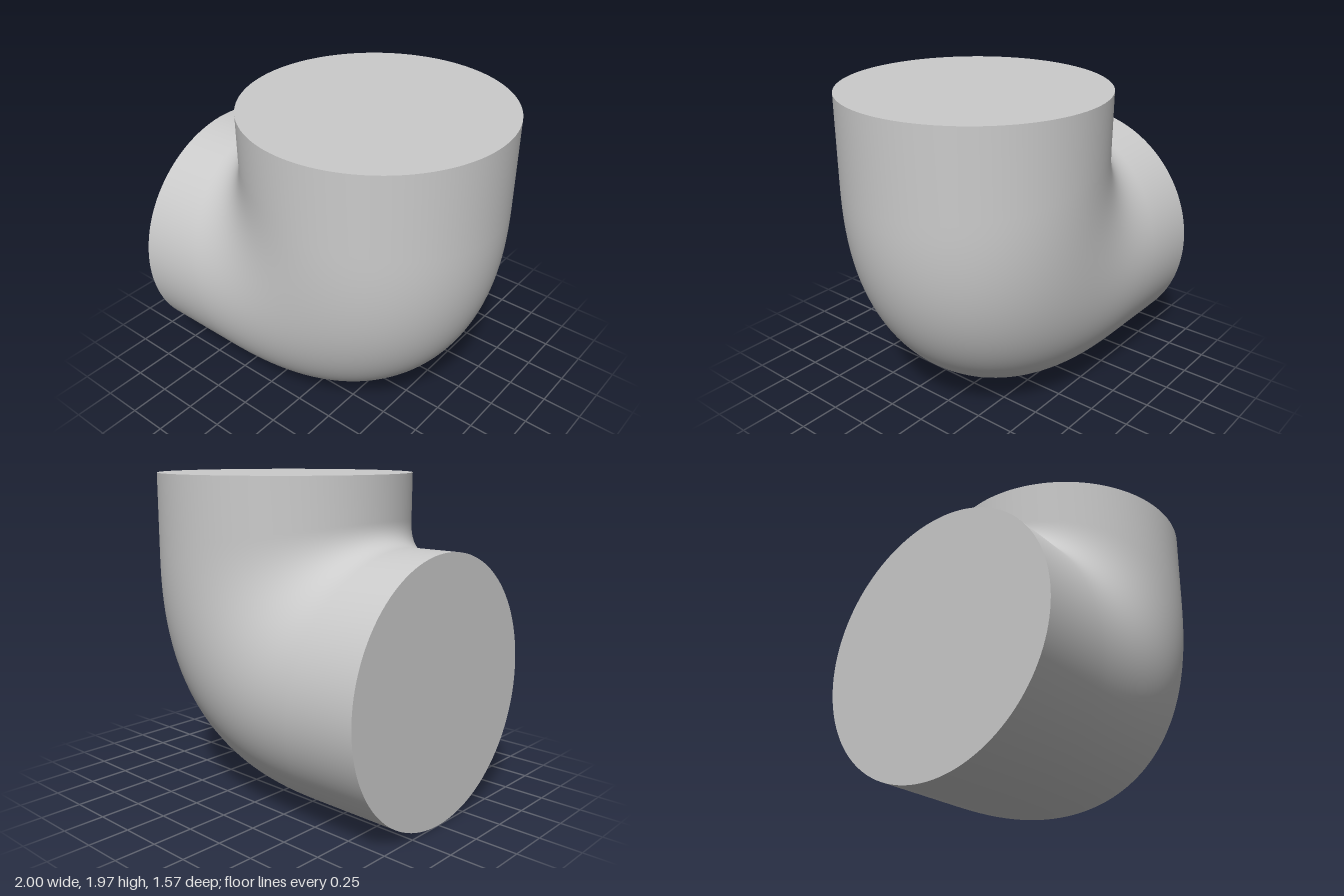
import * as THREE from 'three';

const R = 0.783;               // pipe radius
const AXIS_X = 0.215;          // axis of the upright pipe
const AXIS_Y = R;              // axis of the level pipe
const LEFT = -1, TOP = 1.965;  // ends of the two pipes
const INNER = 0.14, OUTER = 1.42; // bend sizes at the inner and outer corner
const POWER = 2.4;             // fullness of the bend, 2 is a plain arc
const SIDES = 128, STEPS = 48;

// Ring of the elbow; the bend size grows from the inner to the outer corner
function ring(place) {
  const points = [];
  for (let j = 0; j < SIDES; j++) {
    const a = (j / SIDES) * Math.PI * 2;
    const c = Math.cos(a);
    const r = (INNER + OUTER) / 2 + (c * (OUTER - INNER)) / 2;
    const [x, y] = place(AXIS_X + R * c, AXIS_Y - R * c, r);
    points.push(x, y, R * Math.sin(a));
  }
  return points;
}

function elbowGeometry() {
  // level end, full superelliptic bend, upright end
  const rings = [ring((x, y) => [LEFT, y])];
  for (let i = 0; i <= STEPS; i++) {
    const t = (i / STEPS) * Math.PI / 2;
    const u = Math.sin(t) ** (2 / POWER);
    const v = Math.max(0, Math.cos(t)) ** (2 / POWER);
    rings.push(ring((x, y, r) => [x - r + r * u, y + r - r * v]));
  }
  rings.push(ring((x) => [x, TOP]));

  const index = [];
  for (let i = 0; i < rings.length - 1; i++) {
    for (let j = 0; j < SIDES; j++) {
      const k = (j + 1) % SIDES;
      const a = i * SIDES + j, b = a + SIDES;
      const c = (i + 1) * SIDES + k, d = i * SIDES + k;
      index.push(a, b, c, a, c, d);
    }
  }
  const geometry = new THREE.BufferGeometry();
  geometry.setAttribute('position', new THREE.Float32BufferAttribute(rings.flat(), 3));
  geometry.setIndex(index);
  geometry.computeVertexNormals();
  return geometry;
}

export function createModel() {
  const group = new THREE.Group();
  group.name = 'pipeElbow';
  const material = new THREE.MeshStandardMaterial({ color: 0xcccccc });
  const add = (name, geometry) => {
    const mesh = new THREE.Mesh(geometry, material);
    mesh.name = name;
    group.add(mesh);
    return mesh;
  };

  add('elbowBody', elbowGeometry());

  // Flat end faces
  const disc = new THREE.CircleGeometry(R, SIDES);
  const top = add('topEndFace', disc);
  top.rotation.x = -Math.PI / 2;
  top.position.set(AXIS_X, TOP, 0);
  const side = add('sideEndFace', disc);
  side.rotation.y = -Math.PI / 2;
  side.position.set(LEFT, AXIS_Y, 0);

  return group;
}
